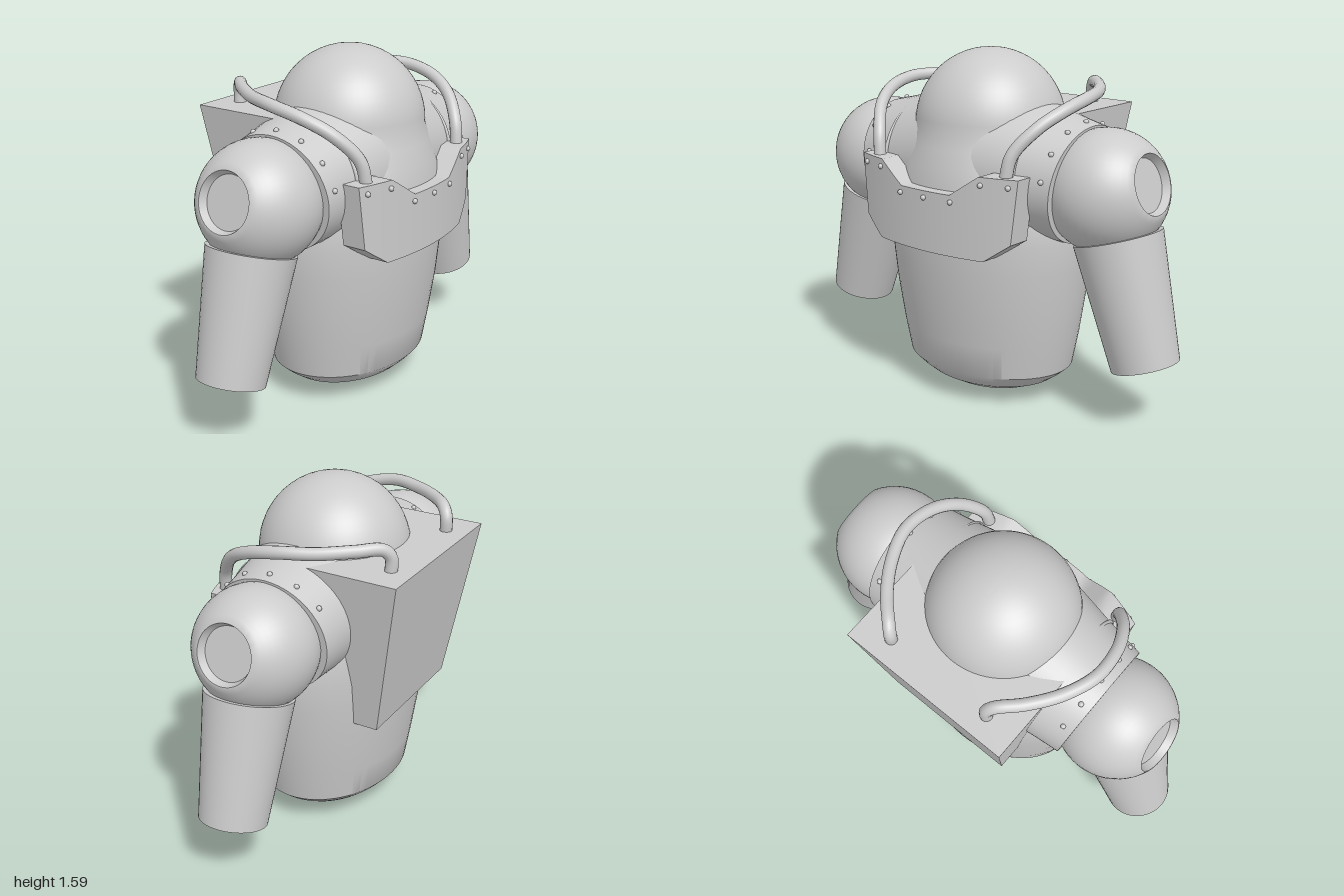
import * as THREE from 'three';
import { toCreasedNormals } from 'three/addons/utils/BufferGeometryUtils.js';

const grey = new THREE.MeshStandardMaterial({ color: 0xcccccc });
const UP = new THREE.Vector3(0, 1, 0);
const CZ = 0.03; // depth centre of the suit
const V = (x, y, z) => new THREE.Vector3(x, y, z);

function add(parent, name, geometry, crease = 0.6) {
  const mesh = new THREE.Mesh(crease ? toCreasedNormals(geometry, crease) : geometry, grey);
  mesh.name = name;
  parent.add(mesh);
  return mesh;
}

// Skin over closed rings of points, with both ends capped.
function loft(rings) {
  const n = rings[0].length, last = rings.length - 1;
  const pos = rings.flat().flatMap(p => [p.x, p.y, p.z]);
  const index = [];
  for (let i = 0; i < last; i++) for (let j = 0; j < n; j++) {
    const k = (j + 1) % n, a = i * n + j, b = i * n + k;
    index.push(a, a + n, b, b, a + n, b + n);
  }
  [0, last].forEach((r, e) => {
    const c = rings[r].reduce((s, p) => s.add(p), V(0, 0, 0)).divideScalar(n);
    const ci = pos.length / 3;
    pos.push(c.x, c.y, c.z);
    for (let j = 0; j < n; j++) {
      const a = r * n + j, b = r * n + (j + 1) % n;
      index.push(ci, e ? b : a, e ? a : b);
    }
  });
  const g = new THREE.BufferGeometry();
  g.setAttribute('position', new THREE.Float32BufferAttribute(pos, 3));
  g.setIndex(index);
  return g;
}

// Lathe whose axis points along dir from the given place.
function turned(parent, name, profile, at, dir) {
  const g = new THREE.LatheGeometry(profile.map(p => new THREE.Vector2(p[0], p[1])), 48);
  const mesh = add(parent, name, g);
  mesh.position.copy(at);
  mesh.quaternion.setFromUnitVectors(UP, dir.clone().normalize());
  return mesh;
}

function rivet(parent, p) {
  add(parent, 'rivet', new THREE.SphereGeometry(0.012, 10, 8), 0).position.copy(p);
}

// Body, rising from a bowl-shaped base into a domed helmet: [y, half width, half depth]
function makeBody(parent) {
  const rows = [[0.005, 0.01, 0.01], [0.015, 0.13, 0.1], [0.04, 0.24, 0.18], [0.08, 0.33, 0.25],
    [0.115, 0.38, 0.288], [0.15, 0.42, 0.32], [0.3, 0.45, 0.345], [0.5, 0.48, 0.375], [0.65, 0.495, 0.39],
    [0.78, 0.505, 0.4], [0.92, 0.49, 0.402], [1.02, 0.45, 0.395], [1.1, 0.405, 0.38],
    [1.18, 0.36, 0.36], [1.25, 0.34, 0.34]];
  for (let i = 1; i <= 14; i++) {
    const a = i / 14 * Math.PI / 2, r = Math.max(0.34 * Math.cos(a), 0.002);
    rows.push([1.25 + 0.34 * Math.sin(a), r, r]);
  }
  add(parent, 'bodyAndHelmet', loft(rows.map(([y, rx, rz]) =>
    Array.from({ length: 64 }, (_, j) => {
      const a = j / 64 * Math.PI * 2;
      return V(rx * Math.cos(a), y, CZ + rz * Math.sin(a));
    }))));
}

// Tapered backpack
function makeBackpack(parent) {
  const ring = (y, x, back, front) => [V(x, y, back), V(x, y, front), V(-x, y, front), V(-x, y, back)];
  add(parent, 'backpack', loft([ring(0.58, 0.325, -0.37, -0.1), ring(1.32, 0.413, -0.495, 0)]));
}

// Curved chest plate with a dipped top edge: stations [top x, top y, bottom x, bottom y]
function makeChestPlate(parent) {
  const half = [[0, 1.015, 0, 0.745], [0.14, 1.015, 0.14, 0.745], [0.28, 1.11, 0.3, 0.745], [0.45, 1.11, 0.42, 0.83]];
  const key = [...half.slice(1).reverse().map(([a, b, c, d]) => [-a, b, -c, d]), ...half];
  const front = x => 0.48 - 0.42 * x * x;
  const rings = [];
  for (let i = 0; i < key.length - 1; i++) {
    for (let s = i ? 1 : 0; s <= 4; s++) {
      const [xt, yt, xb, yb] = key[i].map((v, k) => THREE.MathUtils.lerp(v, key[i + 1][k], s / 4));
      rings.push([V(xt, yt, front(xt)), V(xt, yt, front(xt) - 0.11),
        V(xb, yb, front(xb) - 0.11), V(xb, yb, front(xb))]);
    }
  }
  add(parent, 'chestPlate', loft(rings));
  for (const [x, y] of [[0, 0.985], [0.145, 0.985], [0.29, 1.075], [0.41, 1.075]]) {
    for (const s of x ? [1, -1] : [1]) rivet(parent, V(s * x, y, front(x) + 0.003));
  }
}

// One shoulder, arm and hose; s is +1 for left, -1 for right
function makeSide(s) {
  const side = new THREE.Group();
  side.name = s > 0 ? 'leftSide' : 'rightSide';

  // Shoulder yoke with a tilted end
  const yoke = turned(side, 'shoulderYoke', [[0, -0.5], [0.33, -0.5], [0.31, -0.35], [0.287, -0.2],
    [0.273, -0.1], [0.262, 0], [0.235, 0], [0, -0.01]], V(s * 0.54, 1.04, CZ), V(s * 0.993, -0.115, 0));
  yoke.scale.z = 1.07;
  for (let k = -2; k <= 3; k++) {
    const a = k * 0.46;
    rivet(side, V(s * (0.51 + 0.03 * Math.cos(a)) - s * 0.015, 1.044 + 0.267 * Math.cos(a), CZ + 0.286 * Math.sin(a)));
  }

  // Thin ridge between yoke and helmet
  const ridge = Array.from({ length: 9 }, (_, i) => {
    const a = -0.3 + i / 8 * 1.75;
    return V(s * 0.37, 1.055 + 0.282 * Math.cos(a), CZ + 0.307 * Math.sin(a));
  });
  add(side, 'collarRidge', new THREE.TubeGeometry(new THREE.CatmullRomCurve3(ridge), 32, 0.009, 6), 0);

  // Shoulder ball with a round recess on its outer face
  const ball = [];
  for (let i = 0; i <= 24; i++) {
    const a = -Math.PI / 2 + i / 24 * (Math.PI / 2 + Math.PI / 3);
    ball.push([Math.max(0.27 * Math.cos(a), 0), 0.27 * Math.sin(a)]);
  }
  ball.push([0.13, 0.234], [0.115, 0.2], [0, 0.2]);
  turned(side, 'shoulderBall', ball, V(s * 0.64, 1.03, CZ), V(s * 0.966, 0.26, 0));

  // Tapered upper arm
  const top = V(s * 0.703, 0.84, CZ), end = V(s * 0.86, 0.297, CZ);
  const axis = top.clone().sub(end);
  turned(side, 'arm', [[0, 0], [0.15, 0], [0.196, axis.length()], [0, axis.length()]], end, axis);

  // Air hose from chest plate to backpack
  const path = [[0.365, 1.09, 0.375], [0.385, 1.2, 0.355], [0.455, 1.31, 0.27], [0.505, 1.375, 0.15],
    [0.515, 1.41, 0], [0.46, 1.415, -0.15], [0.37, 1.42, -0.28], [0.285, 1.415, -0.365],
    [0.26, 1.38, -0.39], [0.26, 1.3, -0.39]].map(([x, y, z]) => V(s * x, y, z));
  add(side, 'hose', new THREE.TubeGeometry(new THREE.CatmullRomCurve3(path), 80, 0.028, 14), 0);
  return side;
}

export function createModel() {
  const model = new THREE.Group();
  model.name = 'divingSuit';
  makeBody(model);
  makeBackpack(model);
  makeChestPlate(model);
  for (const s of [1, -1]) model.add(makeSide(s));
  return model;
}
